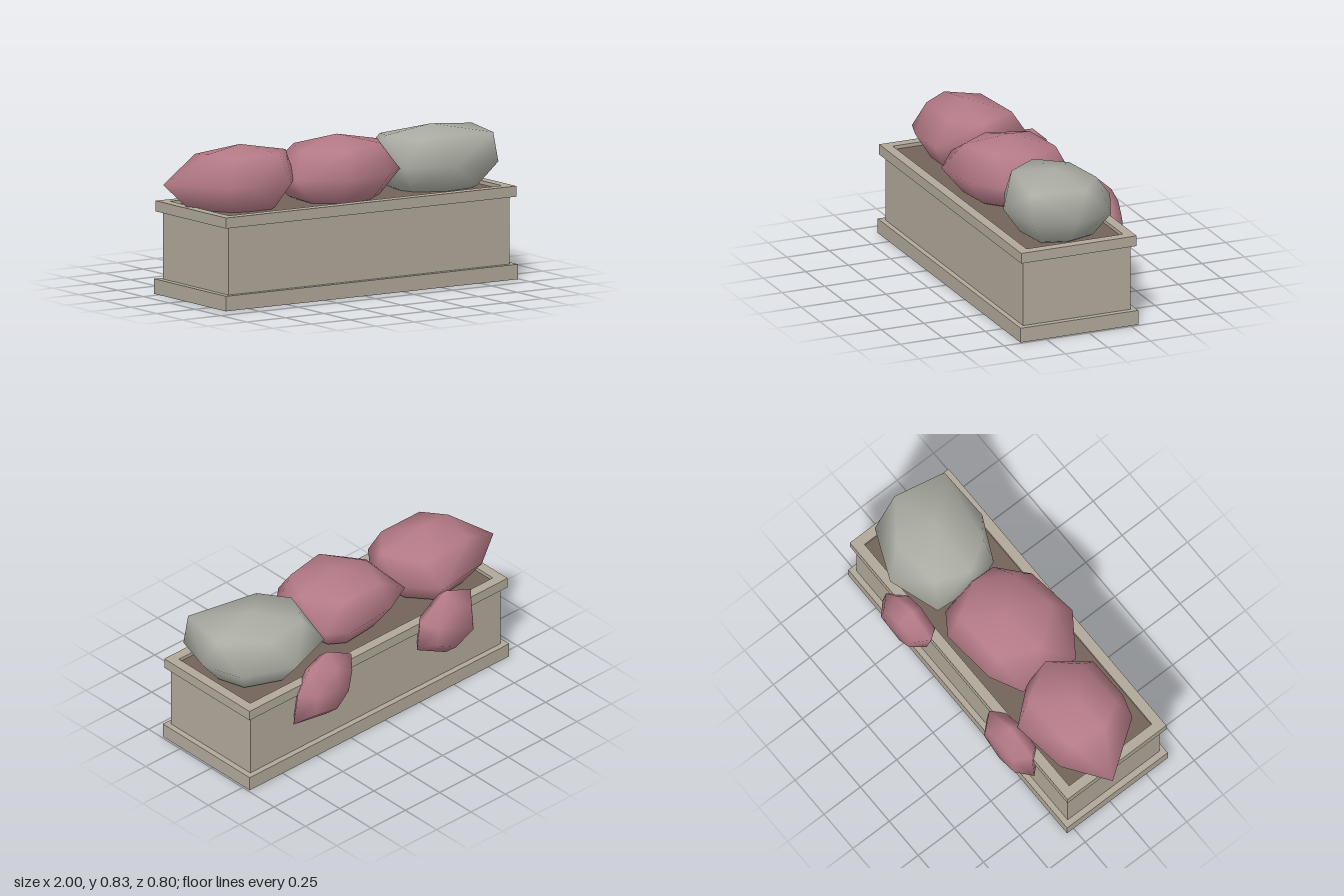
import * as THREE from 'three';
import { ConvexGeometry } from 'three/addons/geometries/ConvexGeometry.js';
import { mergeVertices } from 'three/addons/utils/BufferGeometryUtils.js';

const material = (color) => new THREE.MeshStandardMaterial({ color });
const stone = material(0xb0a899);
const soilBrown = material(0x74645a);
const pink = material(0xb47a86);
const pale = material(0xaaaca2);

function add(group, name, geometry, mat) {
  const mesh = new THREE.Mesh(geometry, mat);
  mesh.name = name;
  group.add(mesh);
}

// Box given by its extents
function block([x0, x1], [y0, y1], [z0, z1]) {
  return new THREE.BoxGeometry(x1 - x0, y1 - y0, z1 - z0)
    .translate((x0 + x1) / 2, (y0 + y1) / 2, (z0 + z1) / 2);
}

// Rectangular ring of the given wall width
function frame([x0, x1], [y0, y1], [z0, z1], wall) {
  const rect = (P, i) => new P([
    [x0 + i, z0 + i], [x1 - i, z0 + i], [x1 - i, z1 - i], [x0 + i, z1 - i],
  ].map(([x, z]) => new THREE.Vector2(x, z)));
  const shape = rect(THREE.Shape, 0);
  shape.holes.push(rect(THREE.Path, wall));
  return new THREE.ExtrudeGeometry(shape, { depth: y1 - y0, bevelEnabled: false })
    .rotateX(Math.PI / 2).translate(0, y1, 0);
}

// Faceted lump with smooth shading, wrapped around its points
function lump(points) {
  const hull = new ConvexGeometry(points.map((p) => new THREE.Vector3(...p)));
  hull.deleteAttribute('normal');
  const merged = mergeVertices(hull, 1e-4);
  merged.computeVertexNormals();
  return merged;
}

const scaleAbout = (v, c, s) => c + (v - c) * s;

// Resting bloom: widest outline, shoulder points, apex, tapering underside
function bloom(cx, cz, outline, shoulder) {
  const ring = (s, y) => outline.map(([x, z]) => [scaleAbout(x, cx, s), y, scaleAbout(z, cz, s)]);
  return lump([...ring(1, 0.635), ...shoulder, [cx, 0.833, cz], ...ring(0.68, 0.5), ...ring(0.4, 0.45)]);
}

// Hanging bloom: outline in the plane of the back wall, narrowing both ways
function hangingBloom(cx, cy, outline) {
  const ring = (s, z) => outline.map(([x, y]) => [scaleAbout(x, cx, s), scaleAbout(y, cy, s), z]);
  return lump([...ring(1, -0.305), ...ring(0.64, -0.385), [cx, cy, -0.398], ...ring(0.72, -0.24)]);
}

export function createModel() {
  const group = new THREE.Group();
  group.name = 'planter';

  // Trough: hollow plinth, body, rim and soil
  add(group, 'plinth', frame([-0.9, 0.99], [0, 0.082], [-0.295, 0.398], 0.005), stone);
  add(group, 'plinthLedge', block([-0.896, 0.986], [0.07, 0.082], [-0.291, 0.394]), stone);
  add(group, 'body', block([-0.865, 0.957], [0.08, 0.452], [-0.263, 0.369]), stone);
  add(group, 'rim', frame([-0.895, 0.985], [0.45, 0.508], [-0.288, 0.392], 0.056), stone);
  add(group, 'soil', block([-0.845, 0.935], [0.44, 0.488], [-0.238, 0.342]), soilBrown);

  // Three large blooms along the trough
  add(group, 'rightBloom', bloom(-0.57, 0.04,
    [[-1, -0.06], [-0.76, -0.23], [-0.44, -0.27], [-0.28, -0.08], [-0.255, 0.1], [-0.4, 0.285],
      [-0.65, 0.29], [-0.78, 0.25]],
    [[-0.78, 0.8, 0.06], [-0.74, 0.77, -0.14], [-0.4, 0.775, -0.17], [-0.28, 0.78, 0.05],
      [-0.42, 0.785, 0.2], [-0.7, 0.785, 0.2]]), pink);

  add(group, 'middleBloom', bloom(0.05, 0.05,
    [[-0.33, 0.22], [-0.3, -0.12], [-0.12, -0.21], [0.2, -0.24], [0.32, -0.16], [0.37, 0.05],
      [0.36, 0.2], [0.2, 0.34], [-0.1, 0.38]],
    [[-0.2, 0.76, 0.08], [-0.1, 0.77, -0.14], [0.2, 0.78, -0.16], [0.32, 0.782, 0.04],
      [0.22, 0.79, 0.22], [-0.04, 0.775, 0.28]]), pink);

  add(group, 'leftBloom', bloom(0.66, 0.05,
    [[0.325, 0.08], [0.35, -0.19], [0.64, -0.285], [0.93, -0.16], [1, 0.07], [0.93, 0.3],
      [0.63, 0.34], [0.38, 0.22]],
    [[0.37, 0.795, 0.05], [0.45, 0.775, -0.13], [0.73, 0.778, -0.165], [0.96, 0.802, 0],
      [0.9, 0.797, 0.295], [0.47, 0.785, 0.22]]), pale);

  // Two small blooms spilling over the back
  add(group, 'rightHangingBloom', hangingBloom(-0.43, 0.45,
    [[-0.43, 0.65], [-0.24, 0.52], [-0.22, 0.36], [-0.43, 0.25], [-0.63, 0.34], [-0.61, 0.58]]), pink);
  add(group, 'leftHangingBloom', hangingBloom(0.44, 0.45,
    [[0.57, 0.59], [0.43, 0.65], [0.26, 0.56], [0.3, 0.37], [0.43, 0.25], [0.68, 0.29], [0.65, 0.46]]), pink);

  return group;
}
